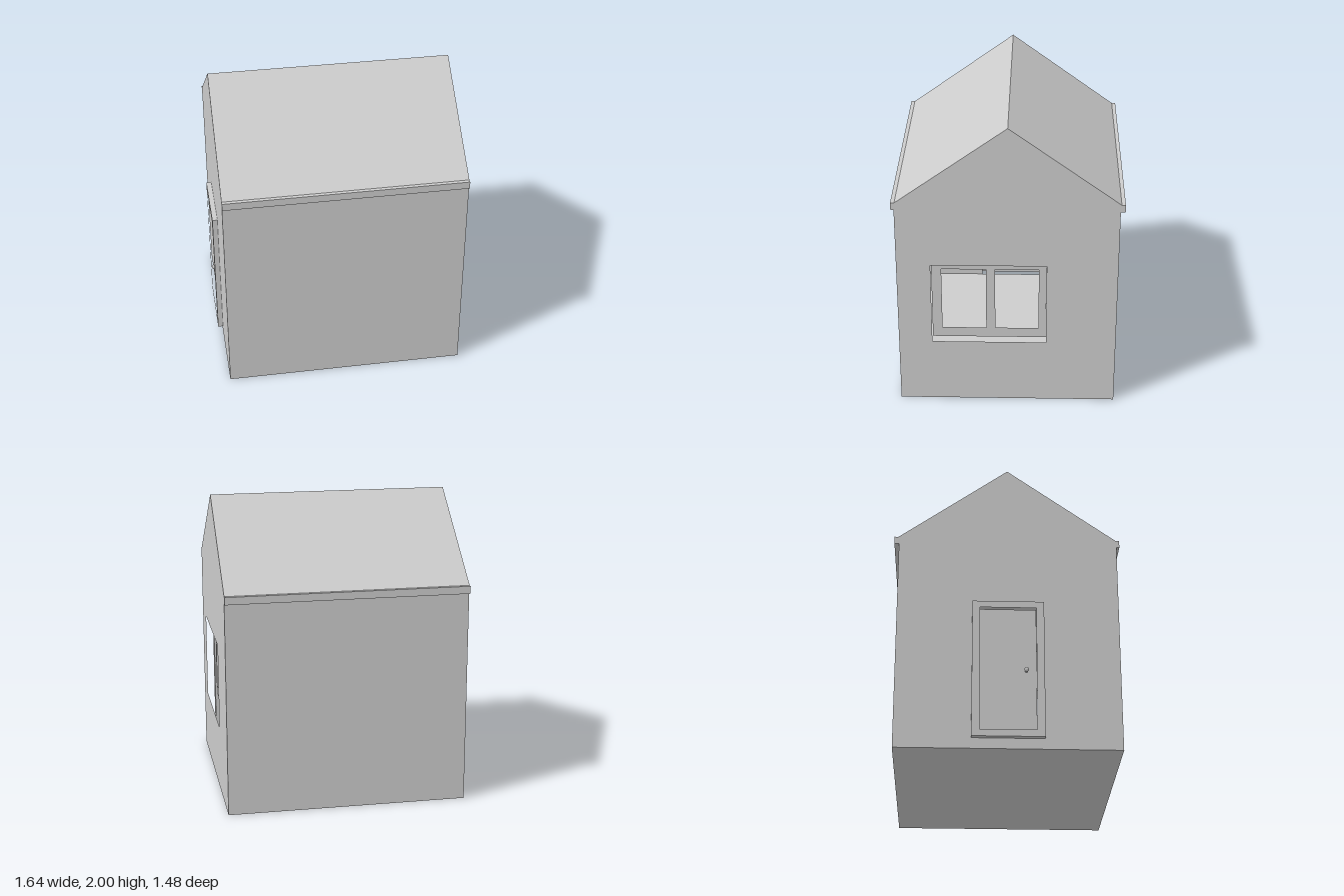
import * as THREE from 'three';

const grey = new THREE.MeshStandardMaterial({ color: 0xcccccc });
grey.name = 'plain grey';

// Extents of the house and thickness of its shell
const X0 = -0.775, X1 = 0.82, Z0 = -0.71, Z1 = 0.72, T = 0.07, EAVE = 1.43;

export function createModel() {
  const house = new THREE.Group();
  house.name = 'house';

  const add = (name, geometry) => {
    const mesh = new THREE.Mesh(geometry, grey);
    mesh.name = name;
    house.add(mesh);
    return mesh;
  };

  // Box given by its limits on each axis
  const box = (name, x0, x1, y0, y1, z0, z1) =>
    add(name, new THREE.BoxGeometry(x1 - x0, y1 - y0, z1 - z0)
      .translate((x0 + x1) / 2, (y0 + y1) / 2, (z0 + z1) / 2));

  // Profile of [z, y] points, with rectangular holes [z0, z1, y0, y1], extruded along x
  const slab = (name, x0, x1, outline, holes = []) => {
    const points = list => list.map(([z, y]) => new THREE.Vector2(-z, y));
    const shape = new THREE.Shape(points(outline));
    for (const h of holes) shape.holes.push(new THREE.Path(points(rect(...h))));
    const geometry = new THREE.ExtrudeGeometry(shape, { depth: x1 - x0, bevelEnabled: false });
    return add(name, geometry.rotateY(Math.PI / 2).translate(x0, 0, 0));
  };
  const rect = (z0, z1, y0, y1) => [[z0, y0], [z1, y0], [z1, y1], [z0, y1]];

  // Shell: floor, long walls and the two end walls with their openings
  const win = [-0.25, 0.5, 0.45, 1.03];
  const door = [-0.225, 0.235, 0.07, 1.0];
  box('floor', X0 + T, X1 - T, 0, T, Z0 + T, Z1 - T);
  box('frontWall', X0 + T, X1 - T, 0, EAVE, Z1 - T, Z1);
  box('backWall', X0 + T, X1 - T, 0, EAVE, Z0, Z0 + T);
  slab('windowWall', X1 - T, X1, rect(Z0, Z1, 0, EAVE), [win]);
  slab('doorWall', X0, X0 + T, rect(Z0, Z1, 0, EAVE), [door]);

  // Gabled roof with small square eaves, and the ceiling below it
  slab('roof', X0, X1, [
    [-0.74, EAVE], [0.74, EAVE], [0.74, 1.48], [0.715, 1.48],
    [0, 2], [-0.715, 1.48], [-0.74, 1.48],
  ]);
  box('ceiling', X0 + T, X1 - T, 1.38, EAVE, Z0 + T, Z1 - T);

  // Recessed two-light window frame
  slab('windowFrame', X1 - 0.14, X1 - 0.065, rect(...win),
    [[0.145, 0.435, 0.52, 0.965], [-0.2, 0.085, 0.52, 0.965]]);

  // Door: raised frame, inset leaf and a round knob
  slab('doorFrame', -0.81, X0 + 0.03, rect(...door), [[-0.175, 0.185, 0.115, 0.955]]);
  box('doorLeaf', X0 - 0.005, X0 + 0.025, 0.115, 0.955, -0.175, 0.185);
  const stem = add('knobStem', new THREE.CylinderGeometry(0.008, 0.008, 0.035, 12));
  stem.rotation.z = Math.PI / 2;
  stem.position.set(-0.795, 0.52, 0.12);
  const knob = add('knob', new THREE.SphereGeometry(0.015, 16, 10));
  knob.scale.x = 0.65;
  knob.position.set(-0.814, 0.52, 0.12);

  return house;
}
